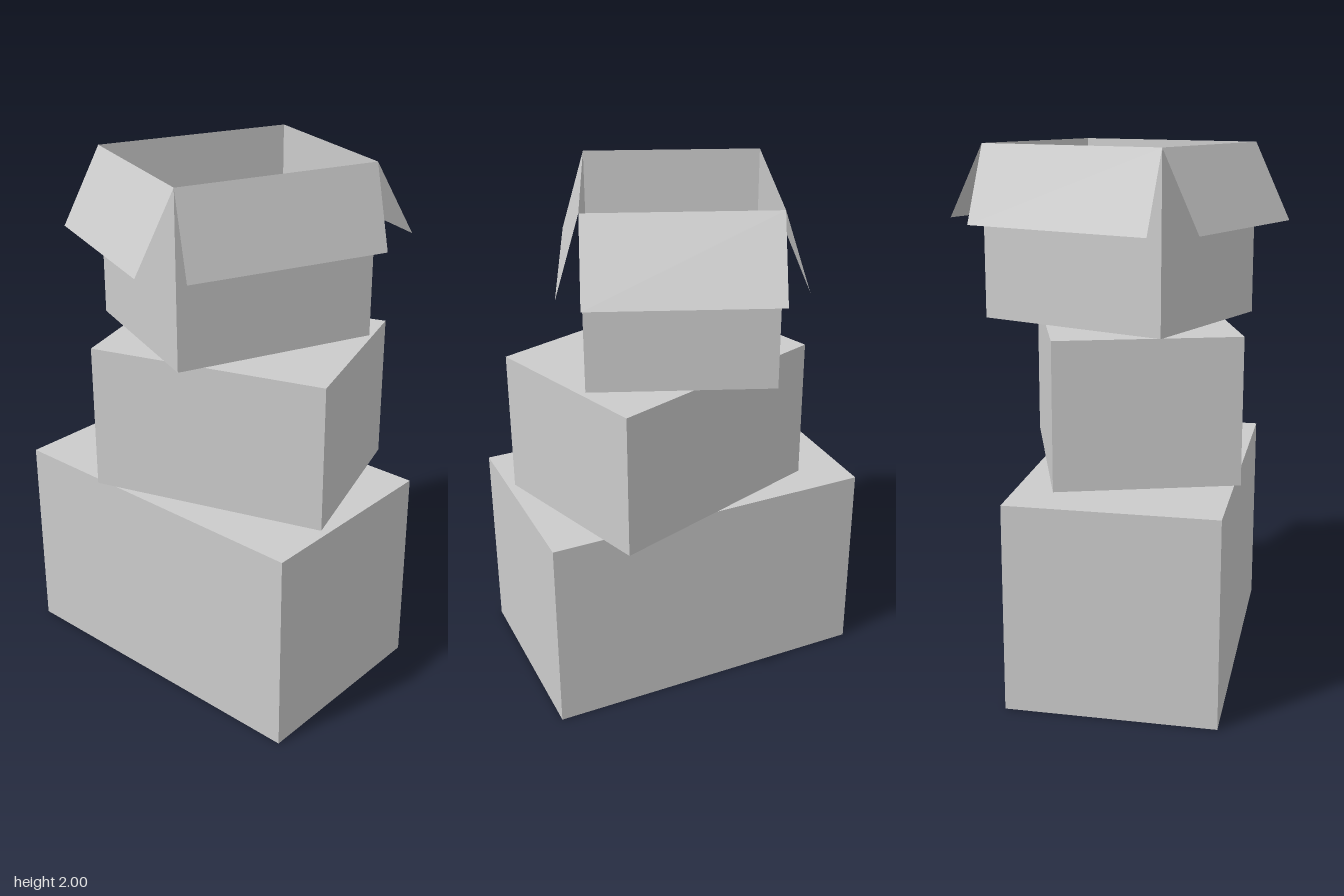
import * as THREE from 'three';

const solid = new THREE.MeshStandardMaterial({ color: 0xcccccc, flatShading: true });
const thin = new THREE.MeshStandardMaterial({ color: 0xcccccc, flatShading: true, side: THREE.DoubleSide });

function closedBox(name, [w, h, d], [x, y, z], turn) {
  const box = new THREE.Mesh(new THREE.BoxGeometry(w, h, d), solid);
  box.name = name;
  box.position.set(x, y + h / 2, z);
  box.rotation.y = turn;
  return box;
}

// Open carton: floor, four walls and a folded-out flap on each rim
function openBox(w, h, d) {
  const carton = new THREE.Group();
  carton.name = 'openBox';

  const floor = new THREE.Mesh(new THREE.PlaneGeometry(w, d), thin);
  floor.name = 'floor';
  floor.rotation.x = -Math.PI / 2;
  carton.add(floor);

  // Each side: name, wall width, distance from centre, flap reach outward, flap drop
  const sides = [
    ['front', w, d / 2, 0.147, 0.285],
    ['left', d, w / 2, 0.09, 0.302],
    ['back', w, d / 2, 0.162, 0.278],
    ['right', d, w / 2, 0.095, 0.29],
  ];
  sides.forEach(([name, width, distance, reach, drop], i) => {
    const side = new THREE.Group();
    side.name = name + 'Side';
    side.rotation.y = i * Math.PI / 2;

    const wall = new THREE.Mesh(new THREE.PlaneGeometry(width, h), thin);
    wall.name = name + 'Wall';
    wall.position.set(0, h / 2, distance);

    // The flap hinges on the top edge of the wall
    const length = Math.hypot(reach, drop);
    const flap = new THREE.Mesh(new THREE.PlaneGeometry(width, length).translate(0, -length / 2, 0), thin);
    flap.name = name + 'Flap';
    flap.position.set(0, h, distance);
    flap.rotation.x = -Math.atan2(reach, drop);

    side.add(wall, flap);
    carton.add(side);
  });
  return carton;
}

export function createModel() {
  const model = new THREE.Group();
  model.name = 'boxStack';

  model.add(closedBox('bottomBox', [1.28, 0.78, 0.776], [0, 0, 0.094], 0.088));
  model.add(closedBox('middleBox', [0.903, 0.555, 0.69], [0.07, 0.78, 0.031], 0.403));

  const top = openBox(0.675, 0.645, 0.773);
  top.position.set(0, 1.355, 0.005);
  top.rotation.y = -0.298;
  model.add(top);

  return model;
}
